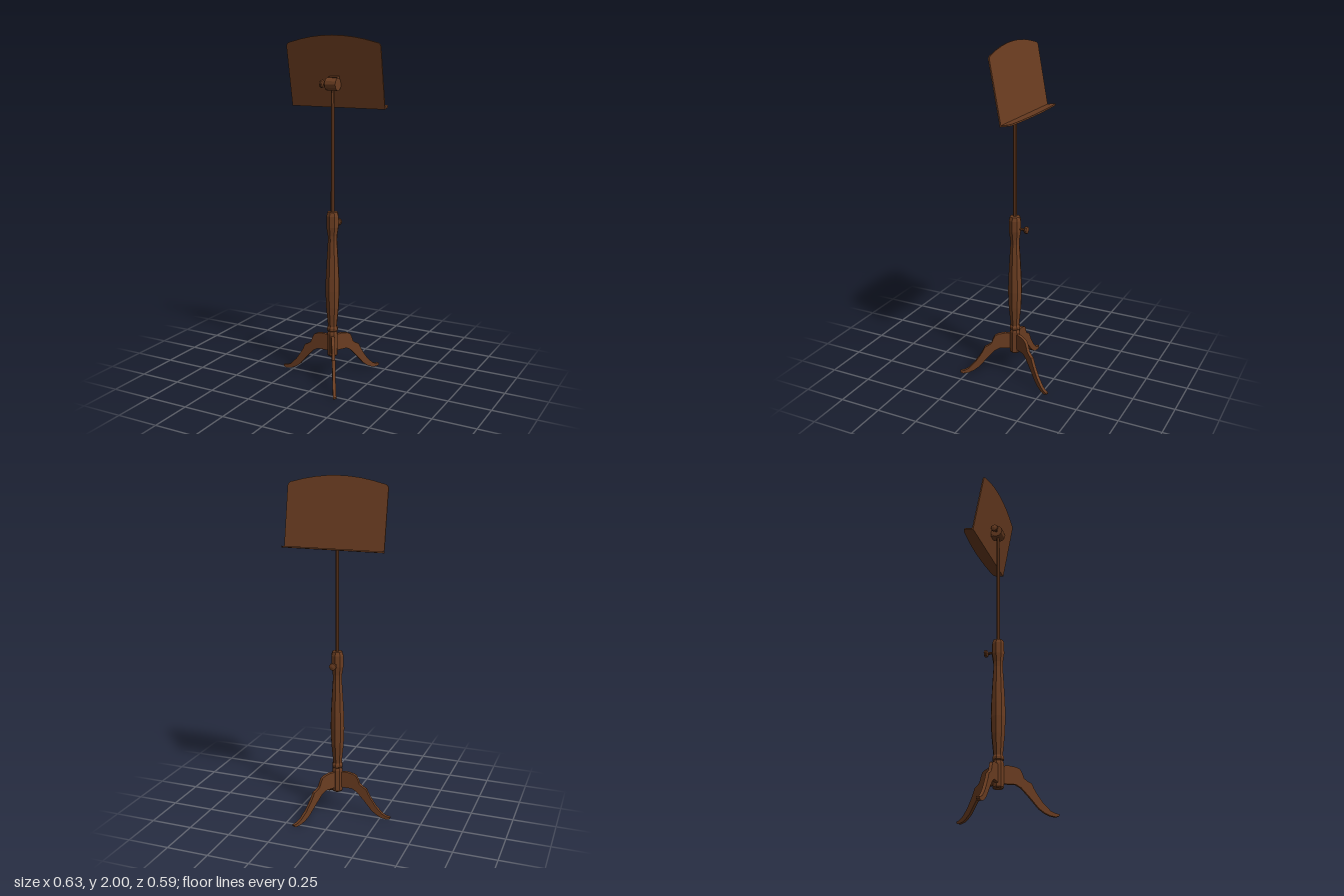
import * as THREE from 'three';

const wood = new THREE.MeshStandardMaterial({ color: 0x6b3d21, flatShading: true });
wood.name = 'brownWood';

function add(parent, name, geometry, x = 0, y = 0, z = 0) {
  const mesh = new THREE.Mesh(geometry, wood);
  mesh.name = name;
  mesh.position.set(x, y, z);
  parent.add(mesh);
  return mesh;
}

const vectors = (points) => points.map(([x, y]) => new THREE.Vector2(x, y));
const lathe = (points, sides = 8) => new THREE.LatheGeometry(vectors(points), sides);

// Board with a straight base, rounded corners and a bowed far edge
function bowedBoard(halfWidth, height, drop, thickness) {
  const shoulder = height - drop;
  const s = new THREE.Shape();
  s.moveTo(-halfWidth, 0);
  s.lineTo(halfWidth, 0);
  s.lineTo(halfWidth, shoulder - 0.025);
  s.quadraticCurveTo(halfWidth, shoulder, halfWidth - 0.03, shoulder + 0.004);
  s.quadraticCurveTo(0, height + drop - 0.004, 0.03 - halfWidth, shoulder + 0.004);
  s.quadraticCurveTo(-halfWidth, shoulder, -halfWidth, shoulder - 0.025);
  return new THREE.ExtrudeGeometry(s, { depth: thickness, bevelEnabled: false, curveSegments: 8 });
}

// Thumb screw pointing along +y from its stem
const thumbScrew = () => lathe([
  [0, 0], [0.008, 0], [0.008, 0.026], [0.019, 0.03], [0.023, 0.036], [0.021, 0.046], [0, 0.05],
]);

export function createModel() {
  const stand = new THREE.Group();
  stand.name = 'musicStand';
  const body = new THREE.Group();
  body.name = 'standBody';
  body.position.x = 0.02;
  stand.add(body);

  // Turned column with the leg hub at its base
  add(body, 'column', lathe([
    [0, 0.135], [0.026, 0.137], [0.032, 0.145], [0.032, 0.275], [0.027, 0.29], [0.033, 0.296],
    [0.033, 0.31], [0.027, 0.32], [0.031, 0.36], [0.039, 0.44], [0.043, 0.54], [0.041, 0.62],
    [0.035, 0.73], [0.028, 0.84], [0.029, 0.87], [0.037, 0.92], [0.037, 0.985], [0.03, 1.008], [0, 1.01],
  ]));
  add(body, 'heightRod', new THREE.CylinderGeometry(0.011, 0.011, 0.74, 8), 0, 1.36, 0);
  const heightScrew = add(body, 'heightScrew', thumbScrew(), 0, 0.935, -0.034);
  heightScrew.rotation.x = -Math.PI / 2;

  // Three scrolled legs, 120 degrees apart
  const legShape = new THREE.Shape(vectors([
    [0.01, 0.165], [0.095, 0.165], [0.125, 0.148], [0.17, 0.1], [0.22, 0.042], [0.25, 0.02],
    [0.28, 0.006], [0.315, 0], [0.332, 0.006], [0.334, 0.016], [0.31, 0.02], [0.285, 0.032],
    [0.245, 0.072], [0.215, 0.115], [0.197, 0.145], [0.183, 0.175], [0.163, 0.184], [0.142, 0.2],
    [0.132, 0.228], [0.12, 0.25], [0.1, 0.26], [0.06, 0.266], [0.01, 0.262],
  ]));
  const legGeometry = new THREE.ExtrudeGeometry(legShape, { depth: 0.018, bevelEnabled: false });
  legGeometry.translate(0, 0, -0.009);
  for (const angle of [Math.PI, Math.PI / 3, -Math.PI / 3]) {
    add(body, 'leg', legGeometry).rotation.y = angle;
  }

  // Tilting hinge with its side screw
  const hinge = add(body, 'hinge', new THREE.CylinderGeometry(0.036, 0.036, 0.068, 12), 0, 1.732, 0);
  hinge.rotation.z = Math.PI / 2;
  const tiltScrew = add(body, 'tiltScrew', thumbScrew(), -0.03, 1.732, 0);
  tiltScrew.rotation.z = Math.PI / 2;

  // Leaning desk and the ledge that carries the music
  const desk = new THREE.Group();
  desk.name = 'desk';
  desk.position.set(0, 1.6, -0.062);
  desk.rotation.x = 0.185;
  body.add(desk);
  add(desk, 'deskPanel', bowedBoard(0.293, 0.407, 0.042, 0.008), 0, 0, -0.004);
  add(desk, 'ledge', bowedBoard(0.293, 0.08, 0.02, 0.008)).rotation.x = -Math.PI / 2;
  add(desk, 'hingePlate', new THREE.BoxGeometry(0.056, 0.07, 0.03), 0, 0.145, 0.017);
  return stand;
}
